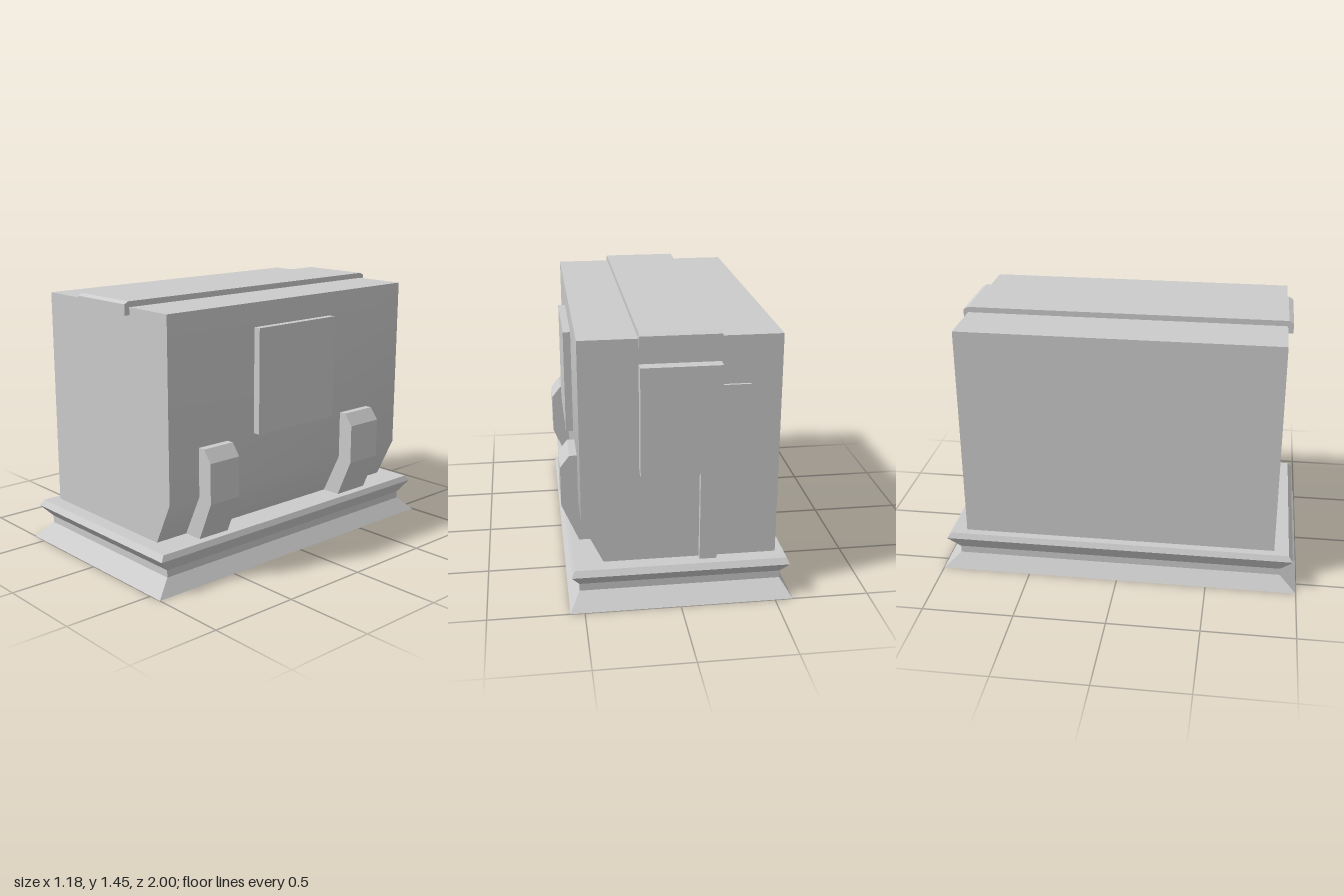
import * as THREE from 'three';
import { toCreasedNormals } from 'three/addons/utils/BufferGeometryUtils.js';

const material = new THREE.MeshStandardMaterial({ color: 0xcccccc });

function add(group, name, geometry) {
  const mesh = new THREE.Mesh(geometry, material);
  mesh.name = name;
  group.add(mesh);
  return mesh;
}

// Box given by its lower and upper limits on each axis
function box(x0, x1, y0, y1, z0, z1) {
  return new THREE.BoxGeometry(x1 - x0, y1 - y0, z1 - z0)
    .translate((x0 + x1) / 2, (y0 + y1) / 2, (z0 + z1) / 2);
}

function extrude(points, depth) {
  const shape = new THREE.Shape(points.map(([x, y]) => new THREE.Vector2(x, y)));
  return new THREE.ExtrudeGeometry(shape, { depth, bevelEnabled: false });
}

// Rectangular rings [y, halfX, halfZ] joined into a closed solid
function stackedRings(rings, centreX) {
  const corners = rings.map(([y, hx, hz]) =>
    [[-1, 1], [1, 1], [1, -1], [-1, -1]].map(([sx, sz]) => [centreX + sx * hx, y, sz * hz]));
  const positions = [];
  const quad = (a, b, c, d) => positions.push(...a, ...b, ...c, ...a, ...c, ...d);
  for (let i = 0; i < corners.length - 1; i++) {
    const low = corners[i], high = corners[i + 1];
    for (let k = 0; k < 4; k++) {
      const n = (k + 1) % 4;
      quad(low[k], low[n], high[n], high[k]);
    }
  }
  quad(...corners[corners.length - 1]);
  quad(...[...corners[0]].reverse());
  const geometry = new THREE.BufferGeometry();
  geometry.setAttribute('position', new THREE.Float32BufferAttribute(positions, 3));
  geometry.computeVertexNormals();
  return geometry;
}

export function createModel() {
  const model = new THREE.Group();
  model.name = 'equipmentCabinet';

  // Flared plinth with a recessed waist
  add(model, 'plinth', stackedRings([
    [0, 0.585, 1], [0.08, 0.53, 0.908], [0.12, 0.53, 0.908],
    [0.19, 0.57, 0.973], [0.22, 0.555, 0.95],
  ], -0.01));

  // Main housing, cut back along its lower left edge
  const body = extrude([
    [-0.52, 0.22], [0.39, 0.22], [0.5, 0.45], [0.5, 1.42], [-0.52, 1.42],
  ], 1.74).translate(0, 0, -0.87);
  add(model, 'housing', toCreasedNormals(body, Math.PI / 5));

  // Roof strap folded over the front and back edges
  const strap = extrude([
    [-0.895, 1.38], [-0.87, 1.38], [-0.87, 1.42], [0.87, 1.42], [0.87, 1.38],
    [0.9, 1.38], [0.9, 1.437], [0.875, 1.45], [-0.87, 1.45], [-0.895, 1.437],
  ], 0.41).rotateY(-Math.PI / 2).translate(0.2, 0, 0);
  add(model, 'roofStrap', strap);

  // Flat panel on the side
  add(model, 'sidePanel', box(0.5, 0.54, 0.72, 1.29, -0.275, 0.293));

  // Bent ducts running down to the plinth
  const duct = [
    [0.39, 0.22], [0.5, 0.22], [0.59, 0.43], [0.59, 0.65],
    [0.54, 0.715], [0.5, 0.715], [0.5, 0.45],
  ];
  for (const [name, z0, z1] of [['frontDuct', 0.48, 0.675], ['rearDuct', -0.61, -0.385]]) {
    add(model, name, extrude(duct, z1 - z0).translate(0, 0, z0));
  }

  // Back control box with its conduit and side tab
  add(model, 'controlBox', box(-0.21, 0.2, 0.72, 1.29, -0.935, -0.87));
  add(model, 'conduit', box(-0.2, -0.11, 0.22, 0.72, -0.905, -0.87));
  add(model, 'sideTab', box(-0.36, -0.21, 1.05, 1.17, -0.885, -0.87));

  return model;
}
